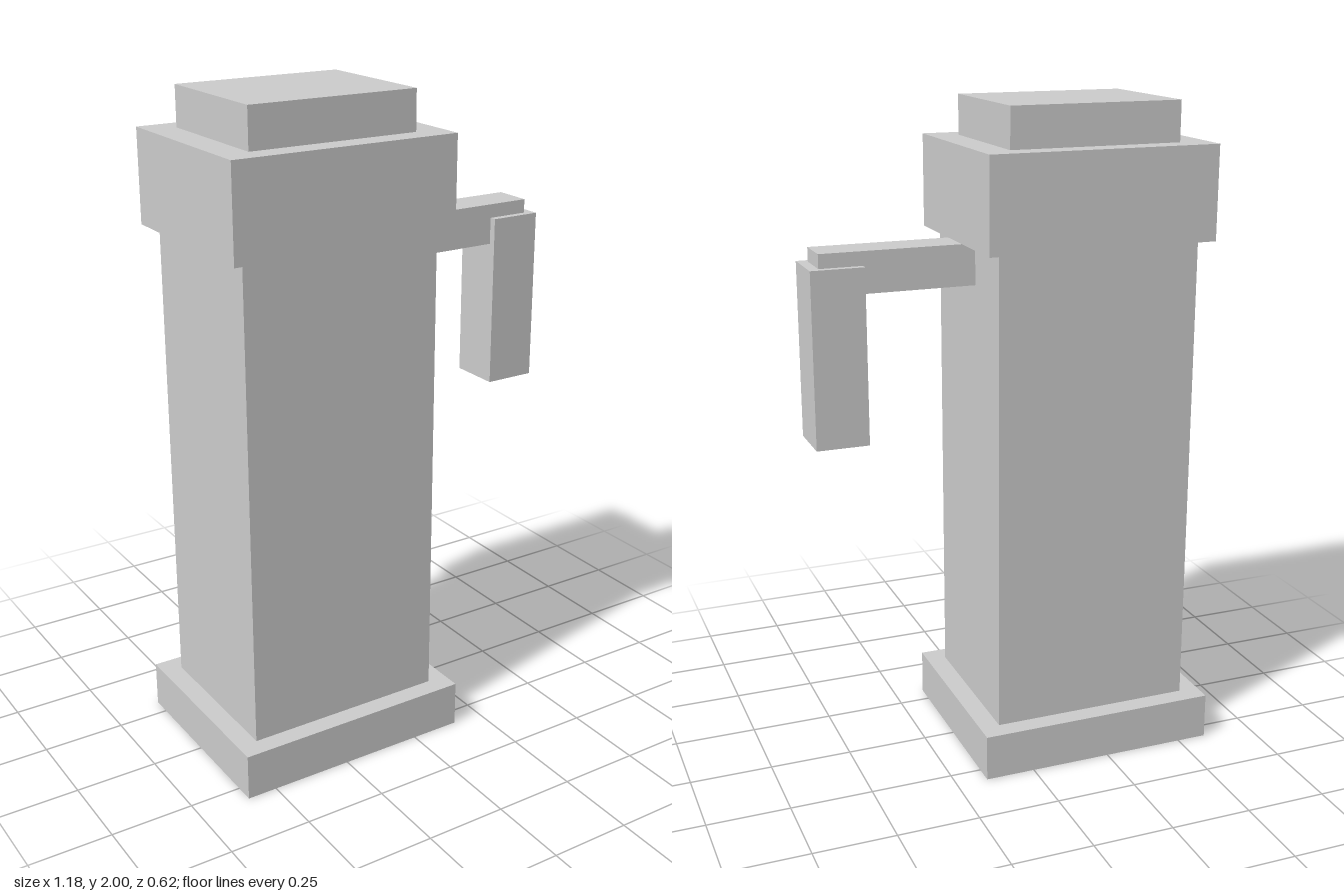
import * as THREE from 'three';

const material = new THREE.MeshStandardMaterial({ color: 0xcccccc, flatShading: true });

// Box spanning x0..x1 and y0..y1, centred on z = 0 with the given depth
function block(name, x0, x1, y0, y1, depth) {
  const mesh = new THREE.Mesh(new THREE.BoxGeometry(x1 - x0, y1 - y0, depth), material);
  mesh.position.set((x0 + x1) / 2, (y0 + y1) / 2, 0);
  mesh.name = name;
  return mesh;
}

export function createModel() {
  const group = new THREE.Group();
  group.name = 'pillarWithArm';

  // Stacked pillar
  group.add(
    block('base', -0.592, 0.154, 0, 0.142, 0.62),
    block('column', -0.53, 0.092, 0.142, 1.6, 0.5),
    block('collar', -0.571, 0.133, 1.6, 1.88, 0.565),
    block('cap', -0.481, 0.044, 1.88, 2, 0.42)
  );

  // Side arm with the hanging handle
  group.add(
    block('arm', 0.092, 0.558, 1.477, 1.6, 0.118),
    block('handle', 0.429, 0.588, 1.033, 1.558, 0.161)
  );

  return group;
}
